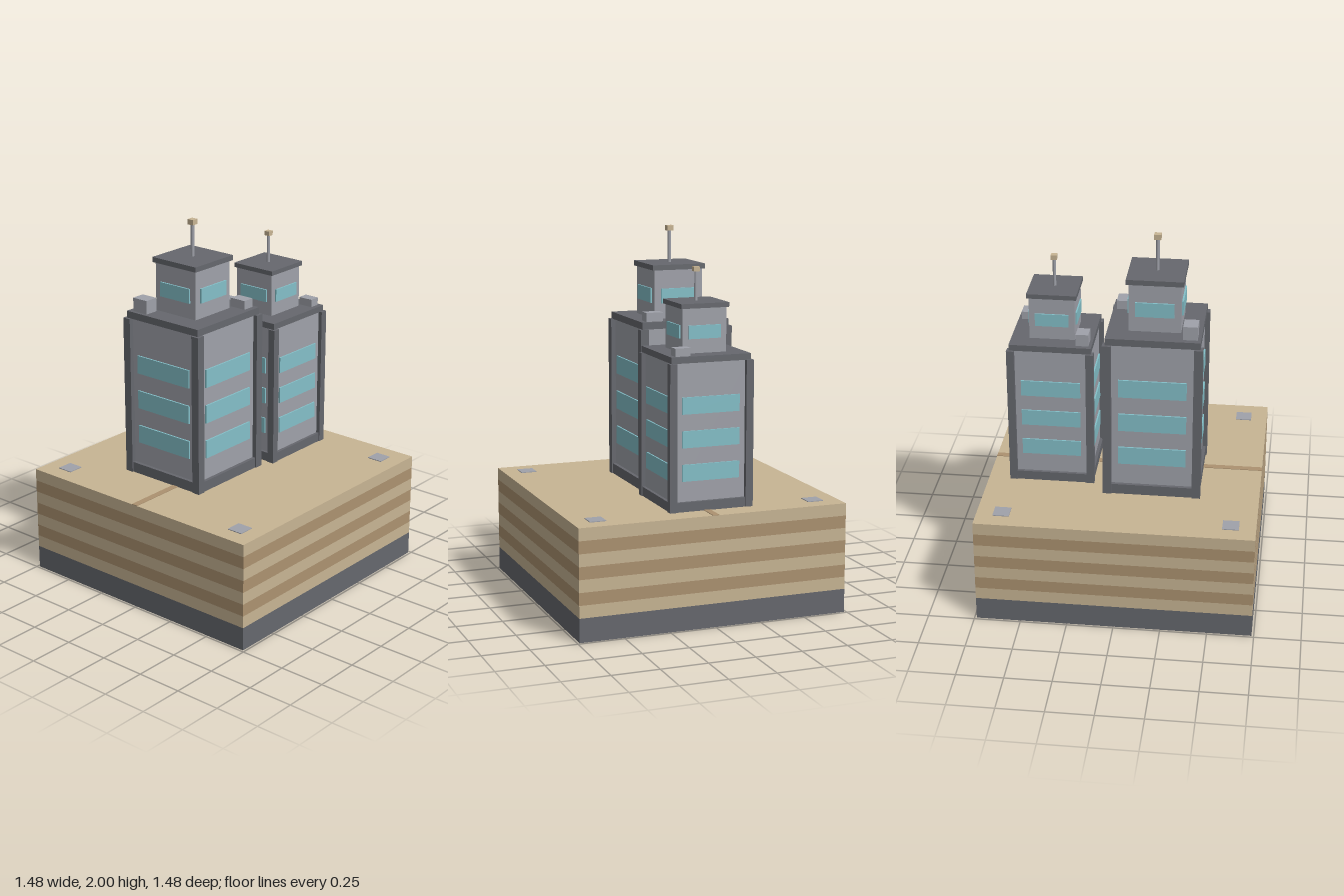
import * as THREE from 'three';

const mat = (name, color) => {
  const m = new THREE.MeshStandardMaterial({ color });
  m.name = name;
  return m;
};

export function createModel() {
  const sand = mat('sand', 0xc8b594);
  const earth = mat('earth', 0xac9270);
  const dark = mat('darkGrey', 0x66686e);
  const wall = mat('wallGrey', 0xa0a2aa);
  const glass = mat('glass', 0x84c0c9);

  // Box standing on y, centred on x and z
  const box = (parent, name, m, w, h, d, x, y, z) => {
    const mesh = new THREE.Mesh(new THREE.BoxGeometry(w, h, d), m);
    mesh.position.set(x, y + h / 2, z);
    mesh.name = name;
    parent.add(mesh);
    return mesh;
  };

  // One window on each of the four walls
  const windowRing = (parent, name, half, width, y, height) => {
    for (let i = 0; i < 4; i++) {
      const side = new THREE.Group();
      side.name = name;
      side.rotation.y = (i * Math.PI) / 2;
      box(side, name + 'Pane', glass, width, height, 0.009, 0, y, half + 0.0045);
      parent.add(side);
    }
  };

  const model = new THREE.Group();
  model.name = 'cliffTowers';

  // Layered ground block
  const W = 1.476, ground = 0.593, foot = 0.127, band = (ground - foot) / 7;
  const base = new THREE.Group();
  base.name = 'base';
  box(base, 'foundation', dark, W, foot, W, 0, 0, 0);
  for (let i = 0; i < 7; i++) {
    box(base, 'groundLayer', i % 2 ? earth : sand, W, band, W, 0, foot + i * band, 0);
  }
  box(base, 'path', earth, 0.035, 0.003, W, 0, ground, 0);
  for (const x of [-0.605, 0.605]) {
    for (const z of [-0.605, 0.605]) box(base, 'cornerPad', wall, 0.087, 0.004, 0.087, x, ground, z);
  }
  model.add(base);

  const makeTower = (name, x, z, scale) => {
    const t = new THREE.Group();
    t.name = name;

    // Main block with plinth, corner posts and roof slab
    box(t, 'plinth', dark, 0.512, 0.057, 0.512, 0, 0, 0);
    box(t, 'body', wall, 0.474, 0.83, 0.474, 0, 0.05, 0);
    for (const sx of [-1, 1]) {
      for (const sz of [-1, 1]) {
        box(t, 'cornerPost', dark, 0.046, 0.877, 0.046, sx * 0.239, 0, sz * 0.239);
      }
    }
    box(t, 'roofSlab', dark, 0.496, 0.038, 0.496, 0, 0.877, 0);
    for (let i = 0; i < 3; i++) windowRing(t, 'window', 0.237, 0.36, 0.179 + i * 0.199, 0.1);

    // Rooftop units
    box(t, 'rooftopUnit', wall, 0.095, 0.074, 0.076, -0.17, 0.915, 0.192);
    box(t, 'rooftopUnit', wall, 0.095, 0.048, 0.066, 0.171, 0.915, -0.196);

    // Penthouse and cap
    box(t, 'penthouse', wall, 0.275, 0.265, 0.275, 0, 0.915, 0);
    windowRing(t, 'penthouseWindow', 0.1375, 0.203, 1.0, 0.079);
    box(t, 'penthouseCap', dark, 0.3, 0.028, 0.3, 0, 1.179, 0);

    // Antenna mast with beacon
    const mast = new THREE.Mesh(new THREE.CylinderGeometry(0.01, 0.01, 0.175, 8), wall);
    mast.name = 'mast';
    mast.position.y = 1.207 + 0.0875;
    t.add(mast);
    box(t, 'beacon', sand, 0.037, 0.028, 0.037, 0, 1.379, 0);

    t.position.set(x, ground, z);
    t.scale.setScalar(scale);
    model.add(t);
  };

  makeTower('frontTower', -0.09, 0.161, 1);
  makeTower('backTower', -0.024, -0.391, 0.88);
  return model;
}
